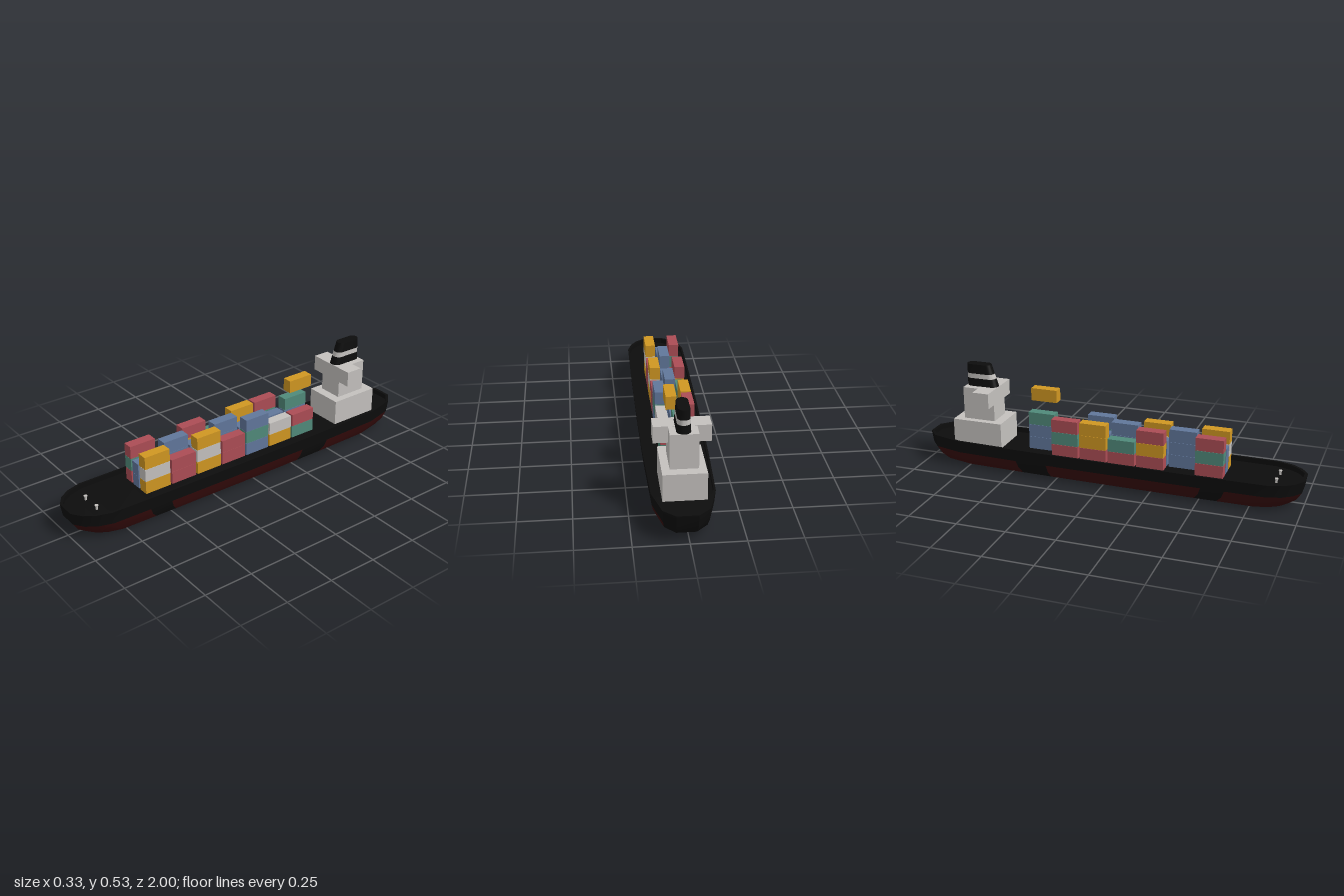
import * as THREE from 'three';
import { toCreasedNormals } from 'three/addons/utils/BufferGeometryUtils.js';

const mat = (name, color) => new THREE.MeshStandardMaterial({ name, color });

// Skin closed rings (bottom to top, running +z to -z along the +x side); keep(k, i) selects the quads
function loft(rings, keep = () => true, crease = 0.5) {
  const pos = [];
  for (let k = 0; k < rings.length - 1; k++) {
    const n = rings[k].length;
    for (let i = 0; i < n; i++) {
      if (!keep(k, i)) continue;
      const j = (i + 1) % n;
      const [a, b, c, d] = [rings[k][i], rings[k][j], rings[k + 1][j], rings[k + 1][i]];
      for (const p of [a, b, c, a, c, d]) pos.push(...p);
    }
  }
  const g = new THREE.BufferGeometry();
  g.setAttribute('position', new THREE.Float32BufferAttribute(pos, 3));
  return toCreasedNormals(g, crease);
}

export function createModel() {
  const ship = new THREE.Group();
  ship.name = 'containerShip';
  const M = {
    black: mat('hullBlack', 0x0d0d0d),
    boot: mat('bottomRed', 0x360b0b),
    W: mat('white', 0xc4c1be),
    R: mat('containerRed', 0xac4d55),
    B: mat('containerBlue', 0x61779b),
    G: mat('containerGreen', 0x508a7a),
    Y: mat('containerYellow', 0xd09722),
  };
  const add = (name, geo, material, parent = ship) => {
    const m = new THREE.Mesh(geo, material);
    m.name = name;
    parent.add(m);
    return m;
  };
  // Box given by its limits
  const box = (name, material, x0, x1, y0, y1, z0, z1, parent) =>
    add(name, new THREE.BoxGeometry(x1 - x0, y1 - y0, z1 - z0), material, parent)
      .position.set((x0 + x1) / 2, (y0 + y1) / 2, (z0 + z1) / 2);

  // Hull: deck outline as half-width and z, scaled at each height
  const half = [[0.05, 1], [0.1, 0.965], [0.135, 0.915], [0.158, 0.84], [0.16, 0.64], [0.161, 0.52],
    [0.161, 0.1], [0.158, -0.3], [0.155, -0.47], [0.145, -0.8], [0.105, -0.95], [0.05, -1]];
  const outline = [...half, ...half.map(([x, z]) => [-x, z]).reverse()];
  const DECK = 0.116, RIM = 0.142;
  // y, x scale, z scale: keel, sides, bulwark, deck
  const levels = [[0, 0, 0.85], [0, 0.62, 0.85], [0.012, 0.83, 0.925], [0.04, 0.91, 0.965], [0.078, 0.965, 0.99],
    [RIM, 1, 1], [RIM, 0.94, 0.985], [DECK, 0.94, 0.985], [DECK, 0, 0.985]];
  const rings = levels.map(([y, sx, sz]) =>
    outline.map(([x, z]) => [x * sx + 0.002 - 0.009 * z, y, z * sz]));
  const last = outline.length - 1;
  const isRed = (k, i) => {
    if (k < 2 || k > 3) return false;
    const s = Math.min(i, last - 1 - i); // same segment on either side
    return s < 4 || s === 5 || s === 6 || s === 8 || s === 9;
  };
  add('hull', loft(rings, (k, i) => !isRed(k, i)), M.black);
  add('hullRedPatches', loft(rings, isRed), M.boot);

  // Bollards on the foredeck
  for (const x of [-0.055, 0.047]) {
    const bollard = new THREE.Group();
    bollard.name = 'bollard';
    bollard.position.set(x, DECK, 0.865);
    add('bollardPost', new THREE.CylinderGeometry(0.006, 0.006, 0.018, 10), M.W, bollard).position.y = 0.009;
    add('bollardCap', new THREE.CylinderGeometry(0.009, 0.008, 0.007, 10), M.W, bollard).position.y = 0.02;
    ship.add(bollard);
  }

  // Containers: bays from bow to stern, stacks at -x, centre, +x, colours from the deck up
  const bays = [
    ['RGR', 'BB', 'YWY'],
    ['', 'BBB', 'RR'],
    ['RYR', 'BB', 'YWY'],
    ['RG', 'BBB', 'RR'],
    ['RYY', 'BB', 'BGB'],
    ['RGR', 'BB', 'YW'],
    ['', 'BBG', 'GR'],
  ];
  const H = 0.0665, L = 0.14;
  const cargo = new THREE.Group();
  cargo.name = 'containers';
  ship.add(cargo);
  bays.forEach((stacks, b) => stacks.forEach((stack, s) => [...stack].forEach((c, t) => {
    const x = -0.076 + s * 0.0637, z = 0.541 - b * 0.1502, y = DECK + t * H;
    box('container', M[c], x - 0.026, x + 0.026, y, y + H - 0.001, z - L / 2, z + L / 2, cargo);
  })));
  // Container hoisted in the air
  box('hoistedContainer', M.Y, 0.001, 0.052, 0.366, 0.432, -0.43, -0.29, cargo);

  // Superstructure
  box('deckhouse', M.W, -0.096, 0.105, DECK, 0.249, -0.833, -0.565);
  box('tower', M.W, -0.062, 0.068, 0.249, 0.418, -0.785, -0.614);
  box('bridgeWings', M.W, -0.128, 0.135, 0.338, 0.4185, -0.702, -0.6135);

  // Funnel: rounded slot section with a raked front, in three bands
  const slot = (y, closed) => {
    const t = (y - 0.418) / 0.116, w = 0.033 - 0.006 * t;
    const front = -0.615 - 0.037 * t - w, back = -0.785 + w, ring = [];
    for (let i = 0; i < 24; i++) {
      const a = (i + 0.5) / 24 * Math.PI * 2;
      const z = Math.cos(a);
      ring.push([0.004 + (closed ? 0 : w * Math.sin(a)), y, (z > 0 ? front : back) + w * z]);
    }
    return ring;
  };
  const band = (name, material, y0, y1) => add(name, loft([slot(y0), slot(y1)]), material);
  band('funnelBase', M.black, 0.418, 0.46);
  band('funnelStripe', M.W, 0.46, 0.485);
  band('funnelTop', M.black, 0.485, 0.534);
  add('funnelLid', loft([slot(0.534), slot(0.534, true)]), M.black);

  return ship;
}
